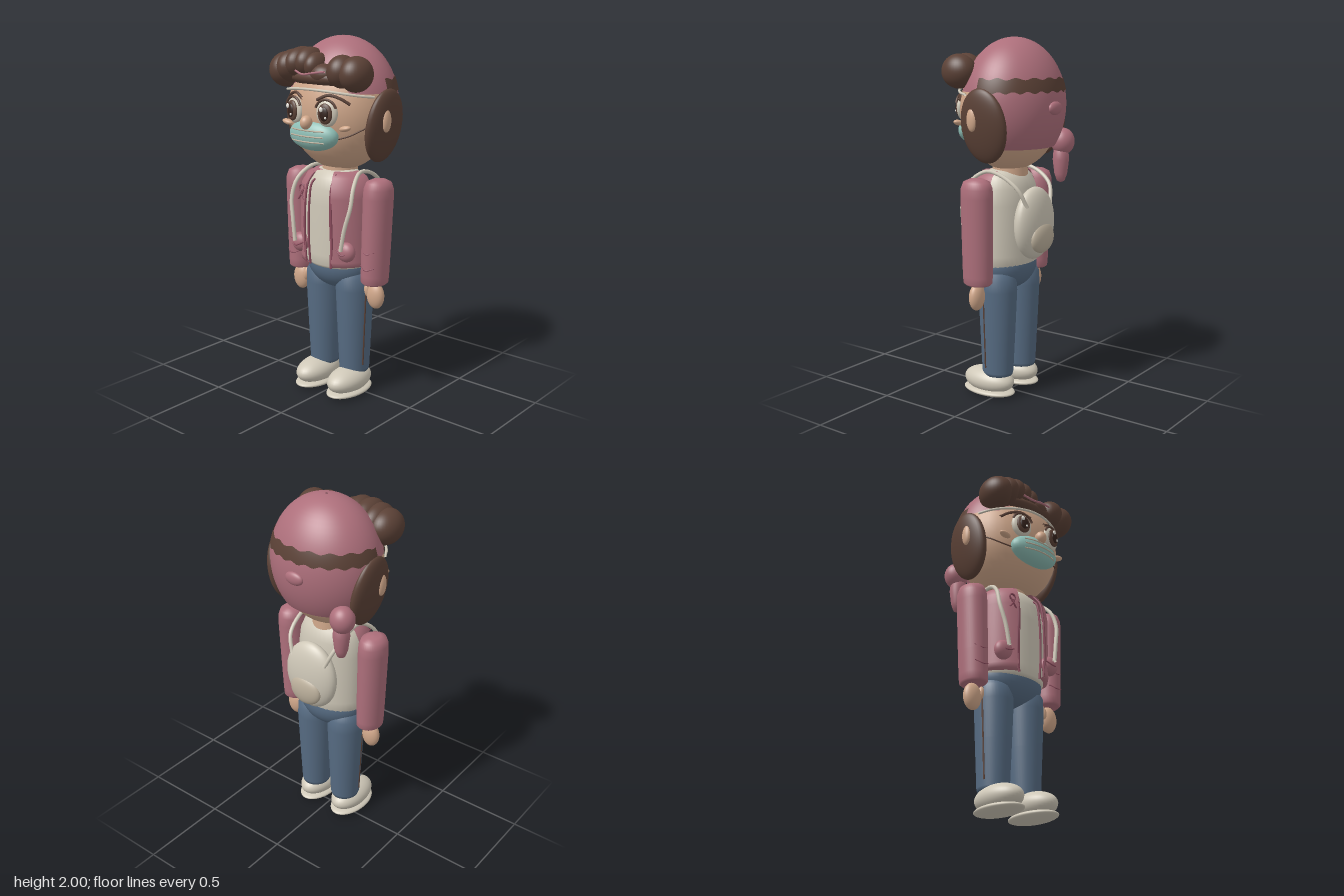
import * as THREE from 'three';
import { ParametricGeometry } from 'three/addons/geometries/ParametricGeometry.js';

const mat = (name, color) => {
  const m = new THREE.MeshStandardMaterial({ color, side: THREE.DoubleSide });
  m.name = name;
  return m;
};
const V = (x, y, z) => new THREE.Vector3(x, y, z);

export function createModel() {
  const skin = mat('skin', 0xd0a78a), pink = mat('dusty pink', 0xad6f7b), rose = mat('dark rose', 0x8b4b5c);
  const brown = mat('hair brown', 0x5b4136), dark = mat('pupil brown', 0x35231d), cream = mat('cream', 0xcfc8b8);
  const beige = mat('beige', 0xbcb09c), blue = mat('denim blue', 0x566b82), teal = mat('mask teal', 0x8dbdb4);
  const white = mat('highlight white', 0xece8e0);

  const model = new THREE.Group();
  model.name = 'figure';
  const add = (name, geo, m, parent = model) => {
    const mesh = new THREE.Mesh(geo, m);
    mesh.name = name;
    parent.add(mesh);
    return mesh;
  };
  const ball = (name, m, c, r, parent) => {
    const mesh = add(name, new THREE.SphereGeometry(1, 36, 24), m, parent);
    mesh.position.set(...c);
    mesh.scale.set(...r);
    return mesh;
  };
  const tube = (name, m, pts, r, parent) => add(name,
    new THREE.TubeGeometry(new THREE.CatmullRomCurve3(pts.map(p => V(...p))), 32, r, 8), m, parent);
  const lathe = (name, m, pts, parent, start = 0, len = Math.PI * 2) => add(name,
    new THREE.LatheGeometry(pts.map(p => new THREE.Vector2(...p)), 40, start, len), m, parent);

  // Point on the face ellipsoid, lifted slightly
  const onFace = (x, y, lift = 0.004) => [x, y,
    -0.005 + lift + 0.26 * Math.sqrt(Math.max(0, 1 - (x / 0.3) ** 2 - ((y - 1.61) / 0.33) ** 2))];

  // Head
  ball('head', skin, [0, 1.61, -0.005], [0.3, 0.33, 0.26]);
  lathe('neck', skin, [[0.1, 1.22], [0.095, 1.36]]);
  ball('nose', skin, [0, 1.565, 0.275], [0.032, 0.037, 0.035]);

  // Patch of the cap's ellipsoid between two heights, swept around the head
  const capPatch = (name, m, a0, a1, yTop, yBottom, grow) => add(name, new ParametricGeometry((u, v, t) => {
    const a = a0 + (a1 - a0) * u;
    const th = x => Math.acos(THREE.MathUtils.clamp((x - 1.64) / 0.36, -1, 1));
    const q = THREE.MathUtils.lerp(th(yTop(a)), th(yBottom(a)), v), s = Math.sin(q);
    t.set(0.315 * grow * s * Math.sin(a), 1.64 + 0.36 * Math.cos(q), -0.03 + 0.265 * grow * s * Math.cos(a));
  }, 72, 24), m);
  const capEdge = a => 1.715 - 0.3 * THREE.MathUtils.smoothstep(-Math.cos(a), -0.15, 0.35);
  capPatch('cap', pink, -Math.PI, Math.PI, () => 1.9999, capEdge, 1);
  capPatch('hairBand', brown, 1.5, Math.PI * 2 - 1.5,
    a => 1.785 + 0.006 * Math.sin(a * 17), a => 1.715 + 0.006 * Math.sin(a * 23), 1.014);
  ball('capKnob', pink, [0, 1.63, -0.294], [0.056, 0.036, 0.022]);

  // Hanging tail behind the right shoulder
  ball('tailKnot', pink, [-0.23, 1.43, -0.195], [0.068, 0.075, 0.065]);
  const tail = lathe('capTail', pink, [[0, 1.2], [0.022, 1.21], [0.036, 1.25], [0.046, 1.33], [0.04, 1.4], [0, 1.43]]);
  tail.position.set(-0.22, 0, -0.19);

  // Hair rolls across the forehead
  const rolls = [
    [-0.235, 1.82, 0.16, 0.088, 0.095, 0.11], [-0.185, 1.84, 0.16, 0.075, 0.09, 0.115],
    [-0.13, 1.86, 0.155, 0.07, 0.085, 0.115], [-0.07, 1.865, 0.16, 0.065, 0.08, 0.1],
    [-0.015, 1.85, 0.17, 0.055, 0.07, 0.085], [0.04, 1.81, 0.185, 0.08, 0.055, 0.065],
    [0.16, 1.83, 0.175, 0.075, 0.085, 0.09], [0.24, 1.82, 0.16, 0.083, 0.092, 0.1],
    [0, 1.79, 0.175, 0.21, 0.045, 0.07],
  ];
  rolls.forEach(([x, y, z, ...r], i) => ball('hairRoll' + (i + 1), brown, [x, y, z], r));
  tube('hairRibbon', pink, [[-0.1, 1.825, 0.245], [-0.04, 1.81, 0.258], [0.03, 1.82, 0.258], [0.1, 1.83, 0.245]], 0.006);
  tube('foreheadTrim', cream, [-0.292, -0.26, -0.2, -0.1, 0, 0.1, 0.2, 0.26, 0.292].map(x => {
    const y = 1.735 - 0.4 * x * x;
    return [x, y, 0.245 * Math.sqrt(1 - (x / 0.305) ** 2) + 0.006];
  }), 0.007);

  // Face mask with pleats
  ball('mask', teal, [0, 1.495, 0.215], [0.16, 0.085, 0.075]);
  [1.525, 1.495, 1.465].forEach(y => tube('maskPleat', beige, [-0.11, -0.06, 0, 0.06, 0.11].map(x =>
    [x, y, 0.216 + 0.075 * Math.sqrt(1 - (x / 0.16) ** 2 - ((y - 1.495) / 0.085) ** 2)]), 0.004));

  for (const s of [-1, 1]) {
    const side = s > 0 ? 'left' : 'right';
    const n = part => side + part;

    // Side hair, ears and cheeks
    const lock = ball(n('SideHair'), brown, [s * 0.275, 1.54, -0.03], [0.05, 0.2, 0.145]);
    lock.rotation.z = -s * 0.16;
    ball(n('Ear'), skin, [s * 0.322, 1.575, 0.01], [0.02, 0.062, 0.032]);
    const cheek = ball(n('Cheek'), skin, [s * 0.2, 1.543, 0.2], [0.036, 0.015, 0.022]);
    cheek.rotation.z = s * 0.2;
    tube(n('MaskStrap'), brown, [[0.14, 1.48], [0.2, 1.5], [0.25, 1.53], [0.285, 1.56]].map(([x, y]) => {
      const p = onFace(x, y);
      return [s * p[0], p[1], p[2]];
    }), 0.004);

    // Eye: layered discs with a lash arc and brow
    const eye = new THREE.Group();
    eye.name = n('Eye');
    eye.position.set(s * 0.11, 1.62, 0.236);
    eye.rotation.y = s * 0.2;
    model.add(eye);
    ball('eyeWhite', cream, [0, 0, 0], [0.062, 0.072, 0.028], eye);
    ball('iris', brown, [0, -0.002, 0.022], [0.042, 0.054, 0.016], eye);
    ball('pupil', dark, [0, -0.002, 0.033], [0.026, 0.036, 0.01], eye);
    ball('eyeHighlight', white, [-0.013, 0.022, 0.042], [0.011, 0.013, 0.006], eye);
    ball('eyeHighlightSmall', white, [0.012, -0.02, 0.041], [0.006, 0.007, 0.005], eye);
    const lash = add('lash', new THREE.TorusGeometry(0.062, 0.007, 8, 28, 2.5), brown, eye);
    lash.rotation.z = 0.32;
    lash.position.set(0, 0.008, 0.014);
    tube(n('Brow'), brown, [[0.05, 1.685], [0.11, 1.71], [0.17, 1.695], [0.215, 1.665]].map(([x, y]) => {
      const p = onFace(x, y);
      return [s * p[0], p[1], p[2]];
    }), 0.008);

    // Sleeve and hand
    const arm = new THREE.Group();
    arm.name = n('Arm');
    arm.position.set(s * 0.281, 1.26, 0.014);
    arm.rotation.set(-0.015, 0, -s * 0.03);
    model.add(arm);
    const sleeve = lathe('sleeve', pink, [[0, -0.58], [0.06, -0.58], [0.07, -0.57], [0.072, -0.53], [0.074, -0.4],
      [0.077, -0.1], [0.075, -0.05], [0.063, -0.015], [0.035, 0], [0, 0.002]], arm);
    sleeve.scale.z = 1.2;
    [-0.4, -0.49].forEach(y => tube('sleeveFold', rose, [-0.045, 0, 0.045].map(x =>
      [x, y + 8 * x * x, 1.2 * Math.sqrt(0.0735 ** 2 - x * x)]), 0.003, arm));
    ball(n('Hand'), skin, [s * 0.272, 0.61, 0.024], [0.054, 0.075, 0.037]);
    const thumb = ball(n('Thumb'), skin, [s * 0.225, 0.635, 0.035], [0.018, 0.04, 0.02]);
    thumb.rotation.z = s * 0.15;

    // Open jacket front
    const start = s > 0 ? 0.43 : -1.75;
    const panel = lathe(n('JacketPanel'), pink, [[0.19, 0.765], [0.216, 0.772], [0.222, 0.8], [0.222, 1.15],
      [0.212, 1.21], [0.18, 1.26], [0.14, 1.282], [0.1, 1.285]], model, start, 1.32);
    panel.scale.z = 0.87;
    panel.position.z = 0.015;
    [[0.092, 0.186, 0], [0.074, 0.174, 0.03]].forEach(([x, z, drop]) => tube(n('JacketEdge'), rose,
      [[s * x, 0.77 - drop / 3, z - 0.004], [s * (x + 0.006), 0.9, z], [s * x, 1.12, z],
        [s * (x - 0.004), 1.22, z - 0.02], [s * (x - 0.016), 1.275 - drop, z - 0.06]], 0.006));
    ball(n('Pocket'), pink, [s * 0.165, 0.865, 0.147], [0.056, 0.055, 0.04]);
    tube(n('PocketSeam'), rose, [[s * 0.118, 0.875, 0.178], [s * 0.165, 0.855, 0.19], [s * 0.21, 0.875, 0.16]], 0.004);

    // Backpack strap over the shoulder
    tube(n('PackStrap'), cream, [[s * 0.165, 0.88, 0.195], [s * 0.185, 1.0, 0.188], [s * 0.21, 1.12, 0.168],
      [s * 0.2, 1.22, 0.13], [s * 0.17, 1.285, 0.04], [s * 0.165, 1.27, -0.06], [s * 0.15, 1.2, -0.16],
      [s * 0.11, 1.1, -0.195]], 0.011);

    // Trouser leg with side seam
    const leg = lathe(n('Leg'), blue, [[0, 0.13], [0.078, 0.13], [0.083, 0.15], [0.094, 0.4], [0.103, 0.62],
      [0.1, 0.69], [0.07, 0.745], [0, 0.77]]);
    leg.position.set(s * 0.107, 0, 0.005);
    leg.scale.z = 1.08;
    leg.position.x = s * 0.109;
    tube(n('LegSeam'), brown, [[s * 0.19, 0.18, 0.03], [s * 0.199, 0.4, 0.03], [s * 0.207, 0.6, 0.03],
      [s * 0.204, 0.68, 0.03]], 0.005);

    // Shoe
    ball(n('Shoe'), cream, [s * 0.117, 0.088, 0.06], [0.095, 0.073, 0.16]);
    ball(n('Sole'), cream, [s * 0.117, 0.028, 0.06], [0.099, 0.026, 0.164]);
  }

  // Shirt and hips
  const shirt = lathe('shirt', cream, [[0, 0.75], [0.18, 0.75], [0.198, 0.765], [0.204, 0.82], [0.204, 1.1],
    [0.192, 1.19], [0.165, 1.25], [0.12, 1.283], [0.09, 1.29], [0, 1.29]]);
  shirt.scale.z = 0.74;
  shirt.position.z = 0.02;
  ball('hips', blue, [0, 0.75, 0.012], [0.195, 0.142, 0.14]);

  // Ribbon pin on the right chest
  const pin = add('ribbonLoop', new THREE.TorusGeometry(0.018, 0.005, 8, 20), rose);
  pin.position.set(-0.125, 1.185, 0.176);
  for (const s of [-1, 1]) {
    tube('ribbonEnd', rose, [[-0.125 - s * 0.012, 1.172, 0.178], [-0.125, 1.15, 0.182], [-0.125 + s * 0.022, 1.12, 0.183]], 0.005);
  }

  // Backpack
  ball('backpack', cream, [0, 1.0, -0.165], [0.165, 0.2, 0.07]);
  ball('packPocket', beige, [0, 0.925, -0.218], [0.1, 0.085, 0.036]);

  return model;
}
